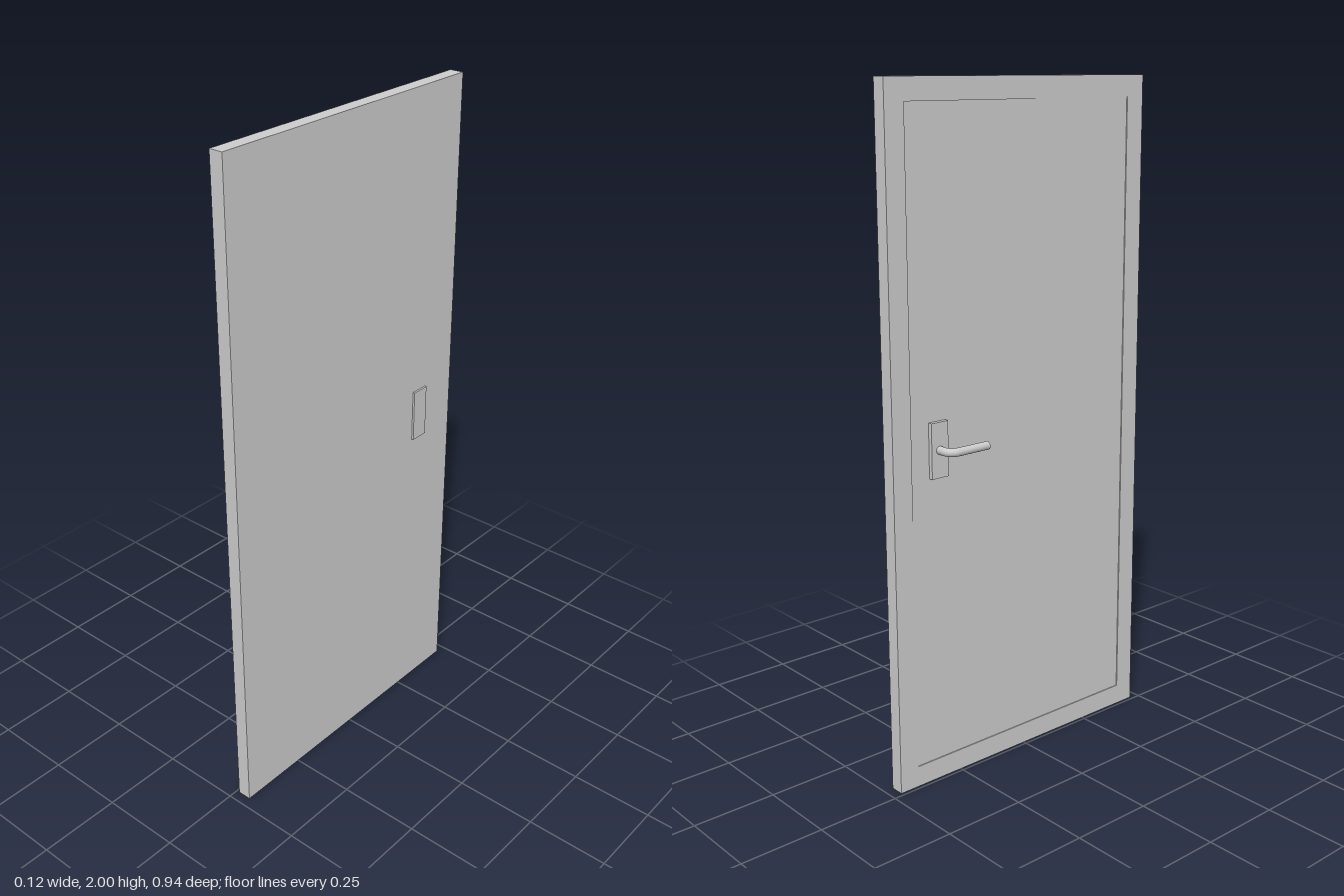
import * as THREE from 'three';

const material = new THREE.MeshStandardMaterial({ color: 0xcccccc });

// Box given by its lower and upper corners
function box(name, [x0, y0, z0], [x1, y1, z1]) {
  const mesh = new THREE.Mesh(new THREE.BoxGeometry(x1 - x0, y1 - y0, z1 - z0), material);
  mesh.position.set((x0 + x1) / 2, (y0 + y1) / 2, (z0 + z1) / 2);
  mesh.name = name;
  return mesh;
}

function rectangle(PathType, x0, y0, x1, y1) {
  return new PathType([[x0, y0], [x1, y0], [x1, y1], [x0, y1]].map(p => new THREE.Vector2(...p)));
}

export function createModel() {
  const group = new THREE.Group();
  group.name = 'door';

  const half = 0.47, height = 2, inset = 0.063;
  const inner = 0.01, outer = 0.052, recess = 0.003;

  // Door leaf
  group.add(box('doorLeaf', [inner + recess, 0, -half], [outer, height, half]));

  // Shallow rim around the recessed panel on the handle side
  const rimShape = rectangle(THREE.Shape, -half, 0, half, height);
  rimShape.holes.push(rectangle(THREE.Path, -half + inset, inset, half - inset, height - inset));
  const rimGeometry = new THREE.ExtrudeGeometry(rimShape, { depth: recess, bevelEnabled: false });
  rimGeometry.rotateY(-Math.PI / 2);
  const rim = new THREE.Mesh(rimGeometry, material);
  rim.position.x = inner + recess;
  rim.name = 'panelRim';
  group.add(rim);

  // Lock plates on both faces
  group.add(box('innerLockPlate', [0, 0.92, -0.345], [inner + recess, 1.08, -0.287]));
  group.add(box('outerLockPlate', [outer, 0.92, -0.345], [0.058, 1.08, -0.287]));

  // Lever handle: short stem, rounded bend, long grip
  const r = 0.012, y = 1, stemZ = -0.317, gripX = -0.048, bend = 0.026, endZ = -0.185;
  const v = (x, z) => new THREE.Vector3(x, y, z);
  const path = new THREE.CurvePath();
  path.add(new THREE.LineCurve3(v(0.005, stemZ), v(gripX + bend, stemZ)));
  const k = bend * 0.448;
  path.add(new THREE.CubicBezierCurve3(
    v(gripX + bend, stemZ), v(gripX + k, stemZ), v(gripX, stemZ + k), v(gripX, stemZ + bend)));
  path.add(new THREE.LineCurve3(v(gripX, stemZ + bend), v(gripX, endZ)));
  const lever = new THREE.Mesh(new THREE.TubeGeometry(path, 64, r, 24), material);
  lever.name = 'leverHandle';
  group.add(lever);

  // Flat end of the grip
  const cap = new THREE.Mesh(new THREE.CircleGeometry(r, 24), material);
  cap.position.set(gripX, y, endZ);
  cap.name = 'leverEnd';
  group.add(cap);

  return group;
}
